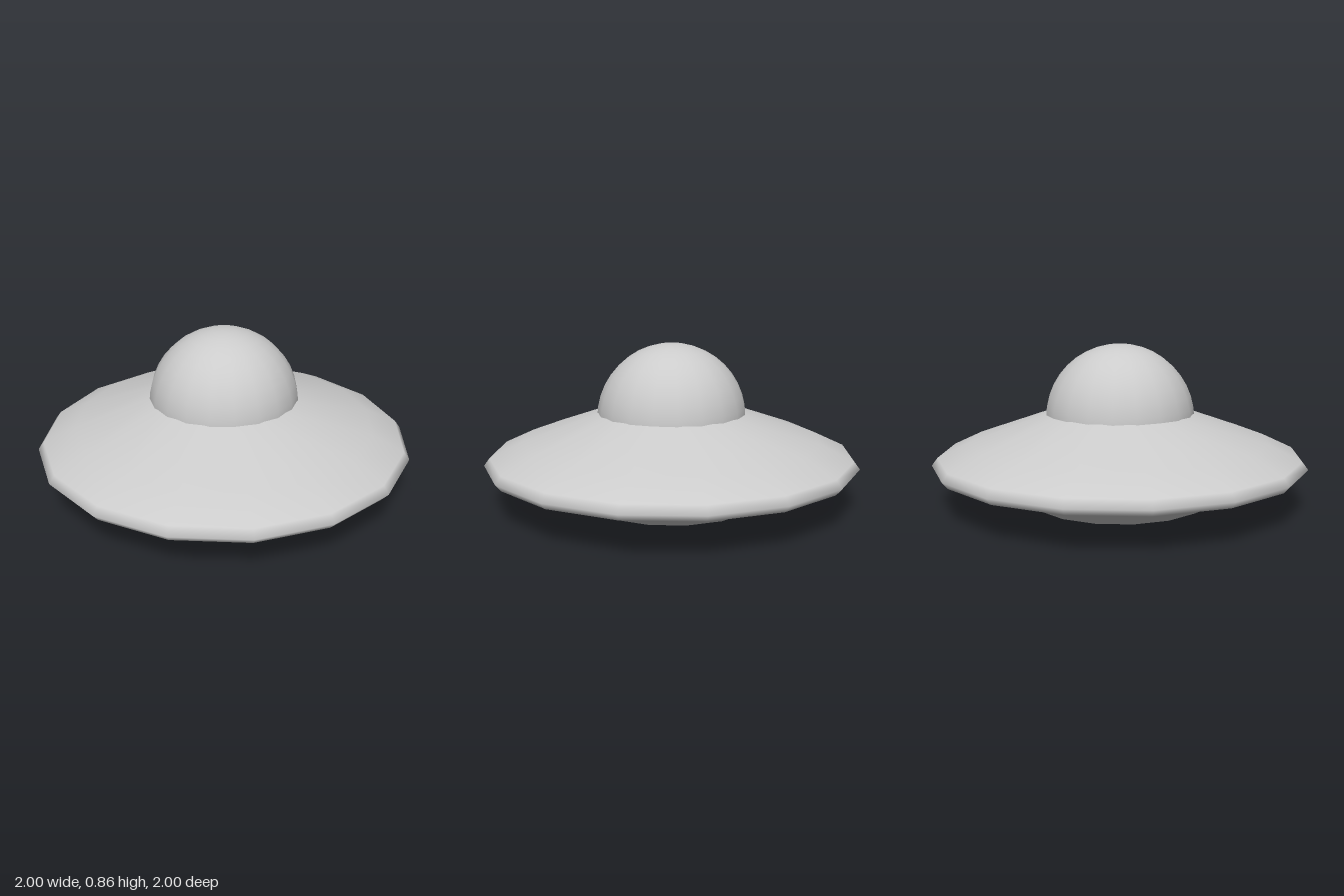
import * as THREE from 'three';

export function createModel() {
  const model = new THREE.Group();
  model.name = 'flyingSaucer';
  const grey = new THREE.MeshStandardMaterial({ color: 0xcccccc });

  // Hull: 16-sided smooth disc with a thin rounded rim; its top runs on inside the dome
  const profile = [
    [0, 0], [0.03, 0], [0.48, 0.005], [0.8, 0.17], [0.97, 0.19], [1, 0.225],
    [0.97, 0.265], [0.8, 0.345], [0.4, 0.485], [0, 0.62],
  ].map(([r, y]) => new THREE.Vector2(r, y));
  const hull = new THREE.Mesh(new THREE.LatheGeometry(profile, 16), grey);
  hull.name = 'hull';
  model.add(hull);

  // Dome: upper part of a sphere, its lower edge buried in the hull
  const dome = new THREE.Mesh(
    new THREE.SphereGeometry(0.4, 20, 12, 0, Math.PI * 2, 0, Math.PI * 0.6), grey);
  dome.name = 'dome';
  dome.position.y = 0.455;
  model.add(dome);

  return model;
}
